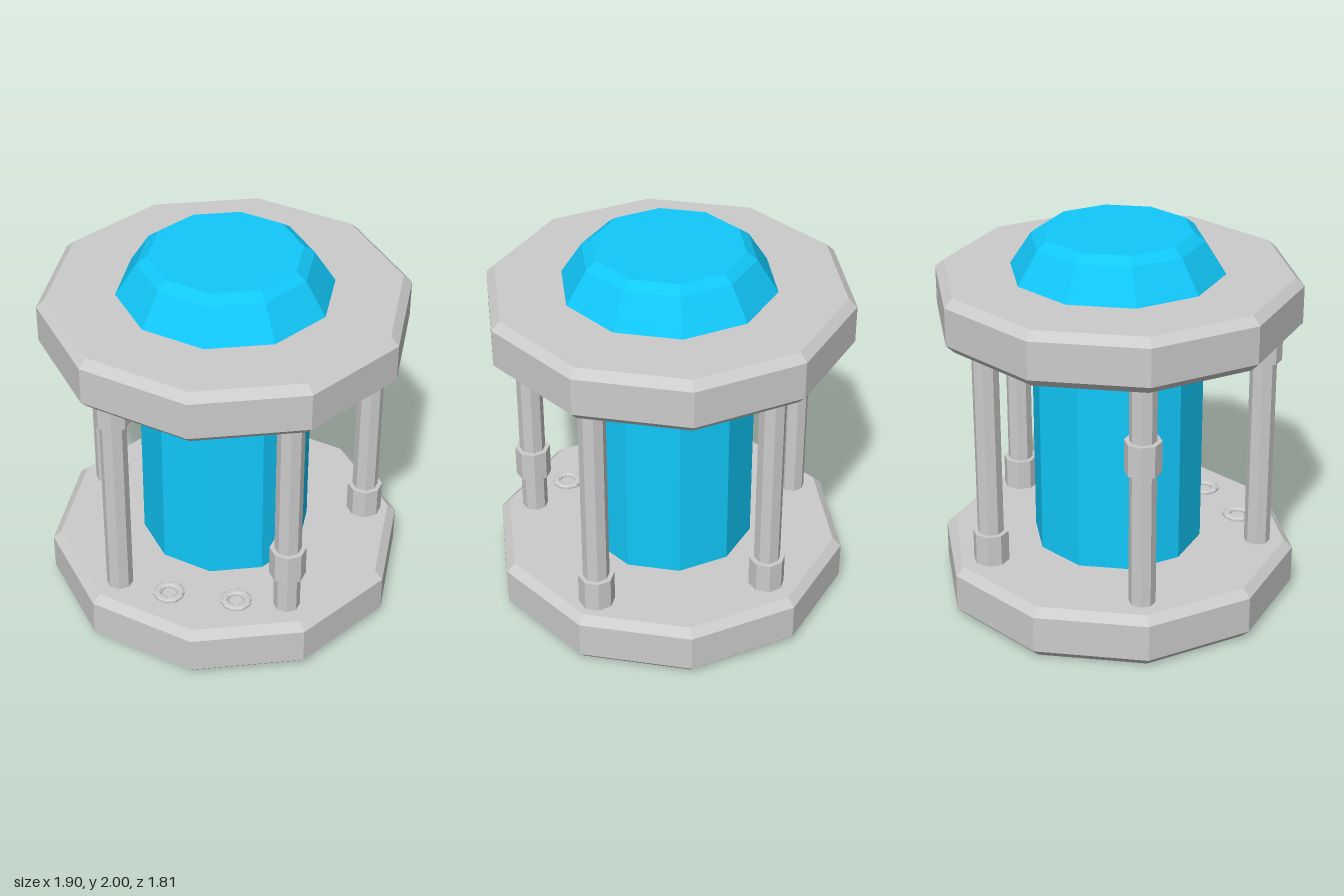
import * as THREE from 'three';

const grey = new THREE.MeshStandardMaterial({ color: 0xcccccc, flatShading: true });
const blue = new THREE.MeshStandardMaterial({ color: 0x11c8fa, flatShading: true });

function add(parent, name, geometry, material, x = 0, y = 0, z = 0) {
  const mesh = new THREE.Mesh(geometry, material);
  mesh.name = name;
  mesh.position.set(x, y, z);
  parent.add(mesh);
  return mesh;
}

// Faceted solid of revolution with a corner on the x axis; profile runs bottom to top
function facetedLathe(profile, sides) {
  const points = profile.map(([r, y]) => new THREE.Vector2(r, y));
  return new THREE.LatheGeometry(points, sides, Math.PI / 2);
}

// Upright prism from y0 to y1
function prism(radius, y0, y1, sides) {
  return new THREE.CylinderGeometry(radius, radius, y1 - y0, sides).translate(0, (y0 + y1) / 2, 0);
}

export function createModel() {
  const model = new THREE.Group();
  model.name = 'containmentCell';

  // Chamfered ten-sided plates
  const plate = facetedLathe(
    [[0, 0], [0.905, 0], [0.95, 0.045], [0.95, 0.243], [0.905, 0.285], [0, 0.285]], 10);
  add(model, 'basePlate', plate, grey);
  add(model, 'topPlate', plate, grey, 0, 1.505, 0);

  // Glowing core and the cap above the top plate
  add(model, 'core', facetedLathe([[0, 0.27], [0.45, 0.27], [0.45, 1.52], [0, 1.52]], 10), blue);
  add(model, 'cap',
    facetedLathe([[0, 1.78], [0.56, 1.78], [0.555, 1.79], [0.445, 1.96], [0.39, 2], [0, 2]], 10), blue);

  // Octagonal pillars, each with a collar at its own height: [x, z, collar bottom]
  const pillars = [
    [0.77, 0, 0.285],
    [0.228, 0.722, 0.5],
    [0.23, -0.708, 0.297],
    [-0.617, 0.442, 1.34],
    [-0.617, -0.45, 1.02],
  ];
  for (const [x, z, y] of pillars) {
    const pillar = new THREE.Group();
    pillar.name = 'pillar';
    pillar.position.set(x, 0, z);
    pillar.rotation.y = -THREE.MathUtils.degToRad(8);
    add(pillar, 'pillarShaft', prism(0.069, 0.27, 1.52, 8), grey);
    add(pillar, 'pillarCollar', prism(0.094, y, y + 0.17, 8), grey);
    model.add(pillar);
  }

  // Empty pillar sockets: low bevelled rings on the base plate
  const ring = facetedLathe(
    [[0.082, -0.01], [0.082, 0.012], [0.072, 0.02], [0.052, 0.02], [0.04, 0.01], [0.04, -0.01]], 10);
  for (const [x, z] of [[-0.37, 0.57], [-0.03, 0.672]]) {
    add(model, 'socketRing', ring, grey, x, 0.285, z);
  }

  return model;
}
